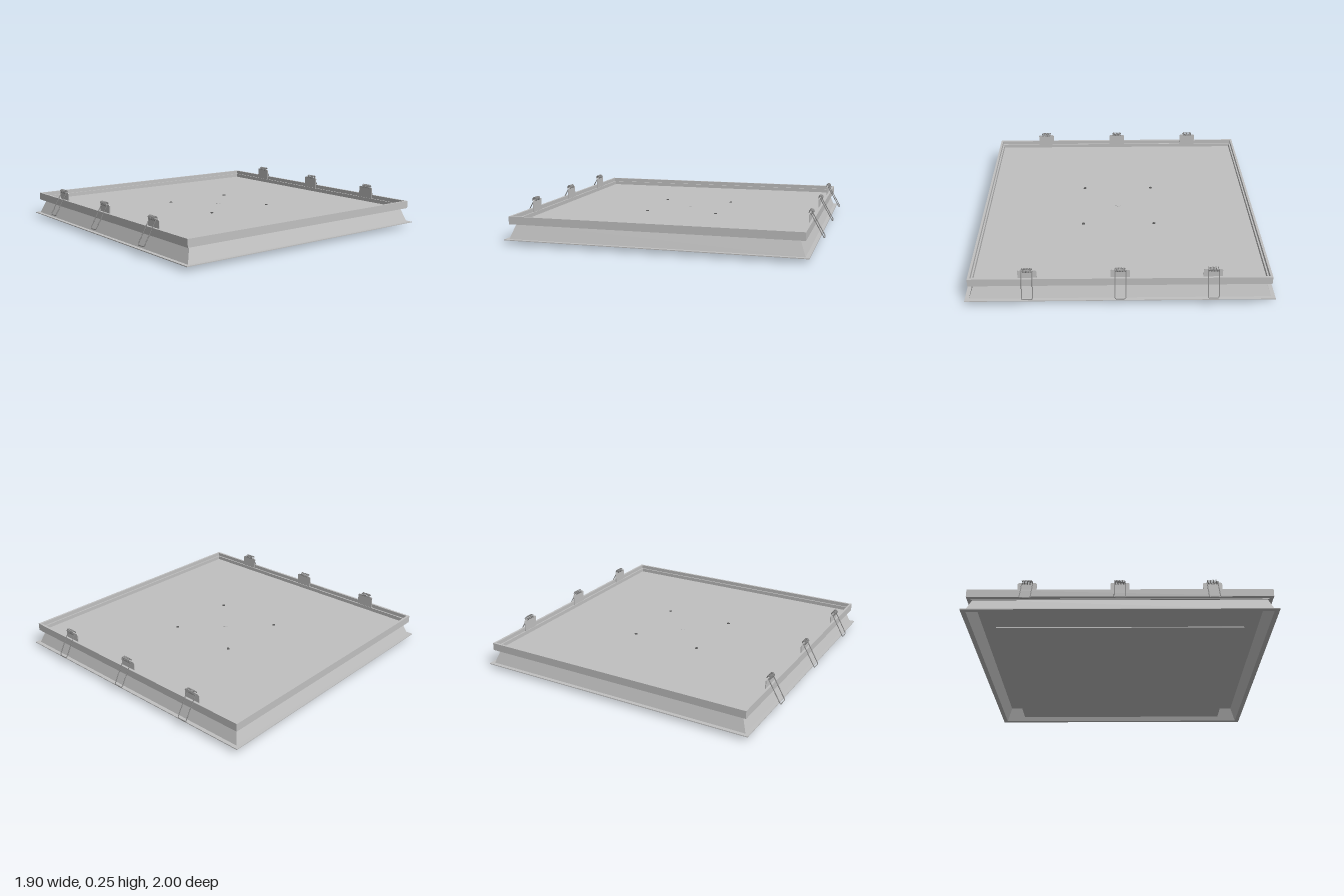
import * as THREE from 'three';

const steel = new THREE.MeshStandardMaterial({ color: 0xc0c0c0 });
steel.name = 'light grey metal';
const wire = new THREE.MeshStandardMaterial({ color: 0x8c8c8c });
wire.name = 'spring wire grey';
const dark = new THREE.MeshStandardMaterial({ color: 0x5a5a5a });
dark.name = 'screw dark grey';

function add(parent, name, geometry, material, x = 0, y = 0, z = 0) {
  const mesh = new THREE.Mesh(geometry, material);
  mesh.name = name;
  mesh.position.set(x, y, z);
  parent.add(mesh);
  return mesh;
}

// Sweeps a closed cross-section (half width, height) around a square
function squareFrame(profile) {
  const points = [...profile, profile[0]].map(([r, y]) => new THREE.Vector2(r * Math.SQRT2, y));
  const geometry = new THREE.LatheGeometry(points, 4, Math.PI / 4).toNonIndexed();
  geometry.computeVertexNormals();
  return geometry;
}

// Mounting tab, coil and wire loop, facing +z
function springClip() {
  const clip = new THREE.Group();
  clip.name = 'springClip';

  const tab = new THREE.Shape();
  tab.moveTo(-0.058, 0.125);
  tab.lineTo(0.058, 0.125);
  tab.lineTo(0.058, 0.222);
  tab.lineTo(0.052, 0.228);
  tab.lineTo(-0.052, 0.228);
  tab.lineTo(-0.058, 0.222);
  const tabGeometry = new THREE.ExtrudeGeometry(tab, { depth: 0.006, bevelEnabled: false });
  add(clip, 'clipTab', tabGeometry, steel, 0, 0, 0.904);

  // Coil wound along x
  const turns = 7;
  const coilPoints = [];
  for (let i = 0; i <= turns * 10; i++) {
    const a = (i / 10) * Math.PI * 2;
    coilPoints.push(new THREE.Vector3(
      -0.033 + (0.066 * i) / (turns * 10),
      0.231 + 0.012 * Math.sin(a),
      0.913 + 0.012 * Math.cos(a)
    ));
  }
  const coil = new THREE.CatmullRomCurve3(coilPoints);
  add(clip, 'springCoil', new THREE.TubeGeometry(coil, turns * 14, 0.0028, 5), wire);

  // Swinging wire loop, leaning outward and down
  const along = (x, t) => new THREE.Vector3(x, 0.228 - 0.151 * t, 0.911 + 0.086 * t);
  const loop = new THREE.CatmullRomCurve3([
    along(-0.033, 0), along(-0.033, 0.5), along(-0.033, 0.94), along(-0.031, 0.985),
    along(-0.025, 1), along(0, 1), along(0.025, 1),
    along(0.031, 0.985), along(0.033, 0.94), along(0.033, 0.5), along(0.033, 0)
  ], false, 'catmullrom', 0.1);
  add(clip, 'wireLoop', new THREE.TubeGeometry(loop, 70, 0.003, 6), wire);
  return clip;
}

export function createModel() {
  const model = new THREE.Group();
  model.name = 'recessedPanelLight';

  // Flange, sloping skirt and raised upper band in one section
  add(model, 'frame', squareFrame([
    [0.92, 0.026], [0.95, 0.026], [0.95, 0.031], [0.925, 0.031], [0.89, 0.125],
    [0.925, 0.125], [0.925, 0.175], [0.91, 0.175], [0.91, 0.15], [0.9, 0.15],
    [0.9, 0.12], [0.885, 0.12]
  ]), steel);

  // Back plate closing the frame
  add(model, 'backPlate', new THREE.BoxGeometry(1.8, 0.005, 1.8), steel, 0, 0.1225, 0);

  // Driver housing and the floating lower panel
  add(model, 'driverHousing', new THREE.BoxGeometry(0.6, 0.11, 0.6), steel, 0, 0.067, 0);
  add(model, 'housingLip', new THREE.BoxGeometry(0.68, 0.005, 0.68), steel, 0, 0.0085, 0);
  add(model, 'lowerPanel', new THREE.BoxGeometry(1.52, 0.006, 1.52), steel, 0, 0.003, 0);

  // Screws and central cable cap on the back plate
  for (const x of [-0.24, 0.24]) {
    for (const z of [-0.24, 0.24]) {
      add(model, 'screw', new THREE.CylinderGeometry(0.01, 0.01, 0.004, 12), dark, x, 0.127, z);
    }
  }
  add(model, 'cableCap', new THREE.CylinderGeometry(0.018, 0.018, 0.002, 8), steel, 0, 0.126, 0);

  // Three clips on the front and three on the back
  for (const turn of [0, Math.PI]) {
    const row = new THREE.Group();
    row.name = turn ? 'backClips' : 'frontClips';
    for (const x of [-0.562, 0, 0.562]) {
      const clip = springClip();
      clip.position.x = x;
      row.add(clip);
    }
    row.rotation.y = turn;
    model.add(row);
  }
  return model;
}
